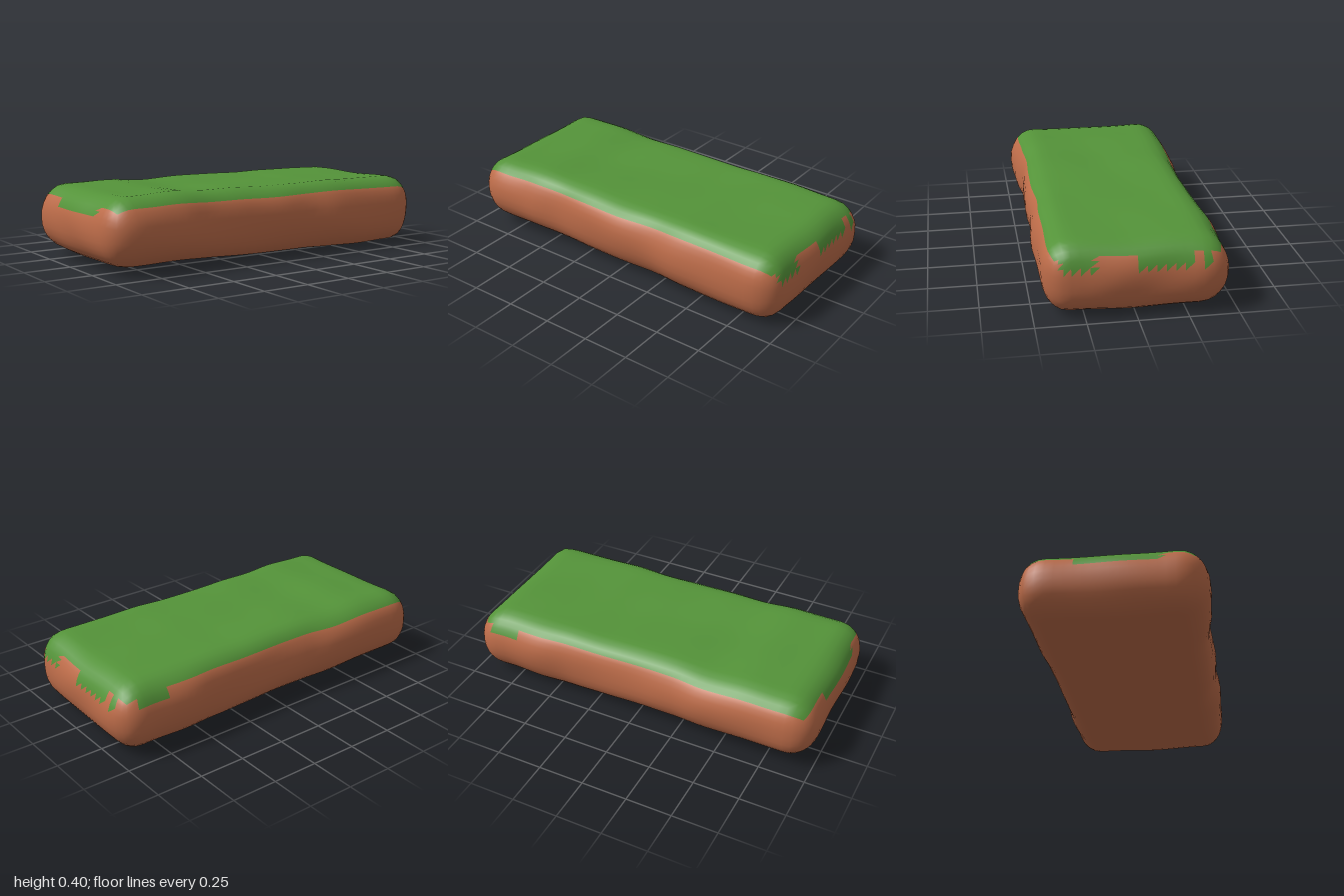
import * as THREE from 'three';
import { mergeVertices } from 'three/addons/utils/BufferGeometryUtils.js';

const HALF = [0.985, 0.18, 0.455];   // half sizes of the slab
const ROUND = [0.13, 0.17, 0.13];    // rounding along each axis

// Smooth interpolation through values spread evenly over x = -1..1
function along(values, x) {
  const t = THREE.MathUtils.clamp((x + 1) / 2, 0, 1) * (values.length - 1);
  const i = Math.min(Math.floor(t), values.length - 2);
  const f = t - i, s = f * f * (3 - 2 * f);
  return values[i] * (1 - s) + values[i + 1] * s;
}

// Offsets of each long face from its nominal plane
const FRONT = [0.005, 0.016, 0.008, -0.012, -0.004, 0, -0.012, 0.004, -0.002, 0, -0.02];
const BACK = [0.015, 0.018, 0.018, 0.017, 0, -0.005, -0.003, 0, 0.017, 0.005, 0.02];
const TOP = [-0.005, 0, 0.007, -0.003, 0.003, 0, 0, 0.006, 0.004, 0.002, -0.006];
const BOTTOM = [0.012, 0.01, 0.012, 0.006, 0.004, 0.004, 0, -0.006, -0.01, -0.005, 0];

function slabGeometry() {
  const box = new THREE.BoxGeometry(2 * HALF[0], 2 * HALF[1], 2 * HALF[2], 44, 8, 20);
  box.deleteAttribute('normal');
  box.deleteAttribute('uv');
  const geo = mergeVertices(box, 1e-4);
  const pos = geo.attributes.position;
  for (let i = 0; i < pos.count; i++) {
    const p = [pos.getX(i), pos.getY(i), pos.getZ(i)];
    // Round edges and corners
    const core = p.map((v, k) => THREE.MathUtils.clamp(v, ROUND[k] - HALF[k], HALF[k] - ROUND[k]));
    const n = new THREE.Vector3(...p.map((v, k) => (v - core[k]) / ROUND[k])).normalize();
    let [x, y, z] = [core[0] + n.x * ROUND[0], core[1] + n.y * ROUND[1], core[2] + n.z * ROUND[2]];
    // Gentle handmade unevenness
    const x0 = x, z0 = z;
    const ripple = 0.004 * Math.sin(7 * x0 + 5 * z0) * Math.sin(9 * z0 - 2 * x0 + 1);
    y += n.y > 0
      ? n.y * (along(TOP, x0) + ripple - 0.006 * Math.exp(-z0 * z0 * 30))
      : -n.y * (along(BOTTOM, x0) + ripple - 0.01 * Math.exp(-z0 * z0 * 25));
    y -= 0.006 * x0;
    z += n.z > 0 ? n.z * along(FRONT, x0) : n.z * along(BACK, x0);
    z += 0.004 * Math.abs(n.z) * Math.sin(6 * x0 + 18 * y);
    x += n.x * (n.x > 0 ? -0.02 * z0 : 0.008) + 0.004 * n.x * Math.sin(14 * z0 + 12 * y);
    pos.setXYZ(i, x, y, z);
  }
  geo.computeBoundingBox();
  geo.translate(0, -geo.boundingBox.min.y, 0);
  geo.computeVertexNormals();
  return geo;
}

const within = (v, a, b) => v > a && v < b;

// Patches where the green top spills over the rim
function spills(side, x, y, z) {
  if (side === 0) {
    return y > 0.262 && (within(z, 0.2, 0.37) || within(z, -0.26, 0) || within(z, -0.36, -0.31));
  }
  if (side === 1) return y > 0.285 && within(z, -0.19, 0.25);
  if (side === 5) return y > 0.275 && within(x, 0.72, 0.88);
  return false;
}

export function createModel() {
  const green = new THREE.MeshStandardMaterial({ color: 0x549339 });
  green.name = 'grass green';
  const clay = new THREE.MeshStandardMaterial({ color: 0xbd6c49 });
  clay.name = 'clay brown';

  // Share the faces out between the top layer and the body
  const slab = slabGeometry();
  const pos = slab.attributes.position, idx = slab.index.array;
  const topFaces = [], bodyFaces = [];
  for (const g of slab.groups) {
    for (let i = g.start; i < g.start + g.count; i += 3) {
      const tri = [idx[i], idx[i + 1], idx[i + 2]];
      const c = new THREE.Vector3();
      for (const v of tri) c.add(new THREE.Vector3().fromBufferAttribute(pos, v));
      c.divideScalar(3);
      const isTop = g.materialIndex === 2 || spills(g.materialIndex, c.x, c.y, c.z);
      (isTop ? topFaces : bodyFaces).push(...tri);
    }
  }

  const model = new THREE.Group();
  model.name = 'groundSlab';
  const addPart = (name, faces, material) => {
    const geo = new THREE.BufferGeometry();
    geo.setAttribute('position', pos);
    geo.setAttribute('normal', slab.attributes.normal);
    geo.setIndex(faces);
    const mesh = new THREE.Mesh(geo, material);
    mesh.name = name;
    model.add(mesh);
  };
  addPart('grassTop', topFaces, green);
  addPart('earthBody', bodyFaces, clay);
  return model;
}
